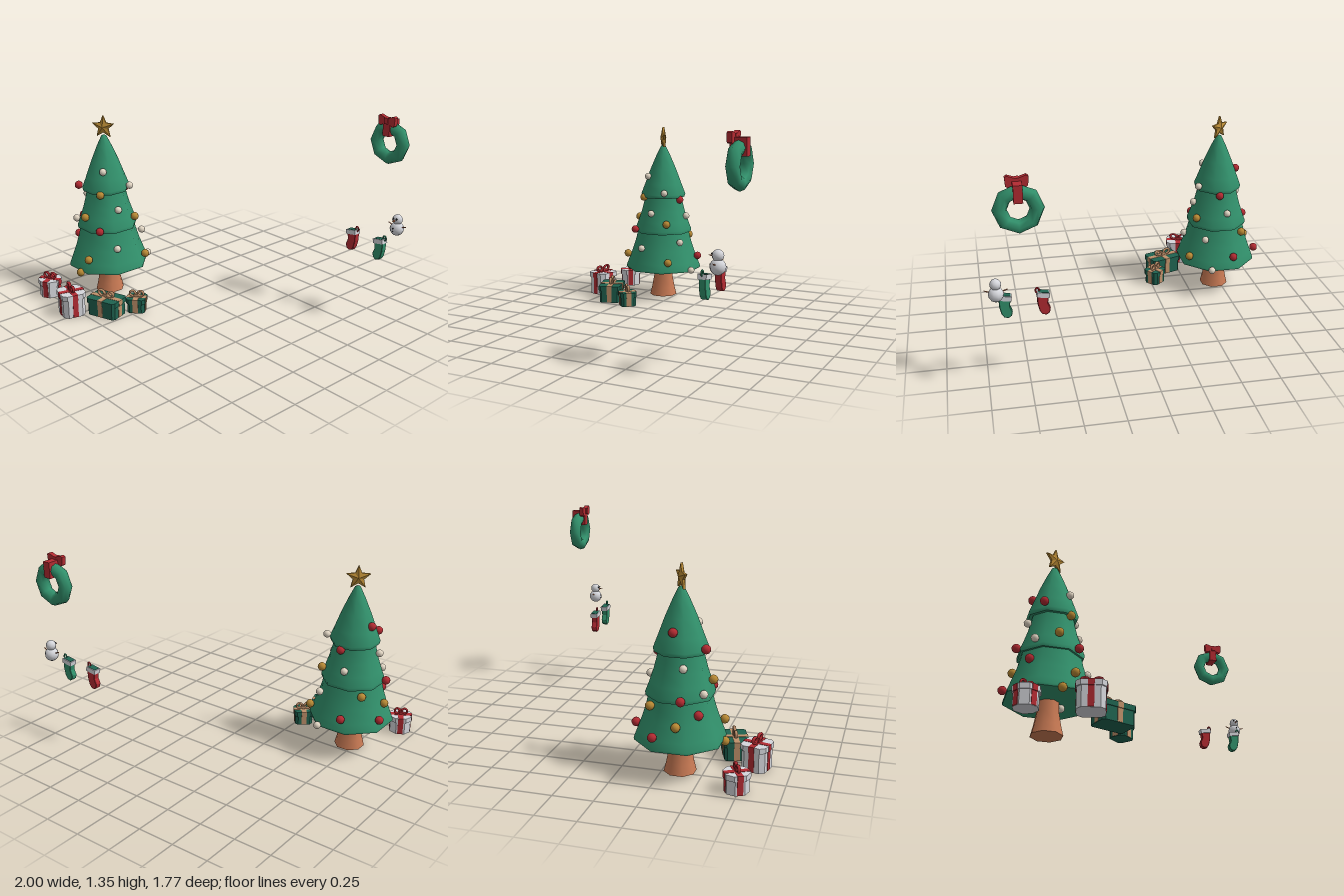
import * as THREE from 'three';

const mat = (name, color, extra = {}) => {
  const m = new THREE.MeshStandardMaterial({ color });
  m.name = name;
  return Object.assign(m, extra);
};

export function createModel() {
  const M = {
    green: mat('pine green', 0x32916c),
    dark: mat('gift green', 0x1f6350),
    red: mat('ribbon red', 0xb32b32),
    gold: mat('gold', 0xb98a35),
    cream: mat('cream', 0xe4d8c6),
    trunk: mat('trunk brown', 0xc97a54),
    tan: mat('tan ribbon', 0xc0916b),
    white: mat('white', 0xd6d7dc),
    black: mat('charcoal', 0x2a2a2c),
  };
  const root = new THREE.Group();
  const group = (name, x, y, z, parent = root) => {
    const g = new THREE.Group();
    g.name = name;
    g.position.set(x, y, z);
    parent.add(g);
    return g;
  };
  const add = (parent, name, geo, material, x = 0, y = 0, z = 0) => {
    const m = new THREE.Mesh(geo, material);
    m.name = name;
    m.position.set(x, y, z);
    parent.add(m);
    return m;
  };
  const box = (w, h, d) => new THREE.BoxGeometry(w, h, d);
  const ball = (r, w = 10, h = 8) => new THREE.SphereGeometry(r, w, h);
  const shapeOf = (pts) => new THREE.Shape(pts.map(([x, y]) => new THREE.Vector2(x, y)));
  const lathe = (pts) => new THREE.LatheGeometry(pts.map(([r, y]) => new THREE.Vector2(r, y)), 8).rotateY(Math.PI / 8);

  // Tree: trunk and three flared eight-sided tiers
  const tree = group('tree', -0.71, 0, 0.355);
  add(tree, 'trunk', lathe([[0.1, 0], [0.085, 0.06], [0.07, 0.14], [0.062, 0.26]]), M.trunk);
  add(tree, 'trunkBase', lathe([[0, 0], [0.1, 0]]), M.trunk);
  const tiers = [
    ['lowerTier', [[0.277, 0.21], [0.279, 0.225], [0.262, 0.27], [0.228, 0.36], [0.203, 0.44], [0.186, 0.52]]],
    ['middleTier', [[0.207, 0.487], [0.21, 0.51], [0.187, 0.57], [0.16, 0.65], [0.142, 0.72], [0.132, 0.78]]],
    ['upperTier', [[0.157, 0.75], [0.165, 0.775], [0.136, 0.85], [0.095, 0.96], [0.052, 1.06], [0.018, 1.13], [0, 1.138]]],
  ];
  for (const [name, pts] of tiers) {
    add(tree, name, lathe(pts), M.green);
    add(tree, name + 'Underside', lathe([[0, pts[0][1]], pts[0]]), M.green);
  }

  // Star: ten outline points joined to a raised centre on both faces
  const pos = [];
  const rim = (i) => {
    const r = i % 2 ? 0.037 : 0.081, a = Math.PI / 2 + (i * Math.PI) / 5;
    return [r * Math.cos(a), r * Math.sin(a)];
  };
  for (let i = 0; i < 10; i++) {
    const a = rim(i), b = rim(i + 1), t = 0.007;
    pos.push(0, 0, 0.022, ...a, t, ...b, t);
    pos.push(0, 0, -0.022, ...b, -t, ...a, -t);
    pos.push(...a, t, ...a, -t, ...b, t, ...b, t, ...a, -t, ...b, -t);
  }
  const starGeo = new THREE.BufferGeometry();
  starGeo.setAttribute('position', new THREE.Float32BufferAttribute(pos, 3));
  starGeo.computeVertexNormals();
  add(tree, 'star', starGeo, M.gold, 0, 1.19, 0).rotation.y = 0.61;

  // Baubles
  const baubles = {
    red: [[-0.835, 0.89, 0.34], [-0.79, 0.795, 0.524], [-0.69, 0.736, 0.21], [-0.925, 0.513, 0.41],
      [-0.855, 0.416, 0.5], [-0.973, 0.3, 0.257], [-0.775, 0.308, 0.1], [-0.567, 0.51, 0.52]],
    gold: [[-0.615, 0.75, 0.47], [-0.695, 0.588, 0.548], [-0.536, 0.567, 0.245], [-0.6, 0.315, 0.6],
      [-0.48, 0.294, 0.205], [-0.675, 0.205, 0.62], [-0.935, 0.36, 0.385], [-0.86, 0.45, 0.21]],
    cream: [[-0.62, 0.907, 0.437], [-0.55, 0.795, 0.27], [-0.545, 0.64, 0.375], [-0.495, 0.382, 0.43], [-0.63, 0.19, 0.337],
      [-0.866, 0.69, 0.41], [-0.835, 0.54, 0.525], [-0.74, 0.61, 0.18], [-0.58, 0.433, 0.155], [-0.615, 0.226, 0.08]],
  };
  const ornaments = group('baubles', 0, 0, 0);
  for (const key in baubles) {
    const geo = ball(key === 'cream' ? 0.025 : 0.028);
    for (const p of baubles[key]) add(ornaments, key + 'Bauble', geo, M[key], ...p);
  }

  // Gifts: chamfered box and lid, crossed ribbons and a looped bow
  const prism = (w, d, h, c) => {
    const x = w / 2, z = d / 2;
    const s = shapeOf([[x, c - z], [x, z - c], [x - c, z], [c - x, z], [-x, z - c], [-x, c - z], [c - x, -z], [x - c, -z]]);
    return new THREE.ExtrudeGeometry(s, { depth: h, bevelEnabled: false }).rotateX(-Math.PI / 2);
  };
  const gift = (name, x, z, rot, w, d, h, c, body, ribbon, bow) => {
    const g = group(name, x, 0, z);
    g.rotation.y = rot;
    const lid = 0.034, over = 0.012, rw = 0.036;
    add(g, 'giftBox', prism(w - over, d - over, h - lid, c), body);
    add(g, 'giftLid', prism(w, d, lid, c), body, 0, h - lid, 0);
    for (const [len, turn] of [[w, 0], [d, Math.PI / 2]]) {
      add(g, 'bodyRibbon', box(len - over + 0.006, h - lid - 0.004, rw), ribbon, 0, (h - lid) / 2, 0).rotation.y = turn;
      add(g, 'lidRibbon', box(len + 0.006, lid + 0.004, rw), ribbon, 0, h - lid / 2, 0).rotation.y = turn;
    }
    for (const s of [-1, 1]) {
      const loop = add(g, 'bowLoop', new THREE.TorusGeometry(0.022, 0.009, 6, 10), ribbon, s * bow * 0.5, h + 0.025, 0);
      loop.scale.set(bow / 0.062, 0.85, 1.2);
      loop.rotation.z = s * 0.25;
    }
    add(g, 'bowKnot', box(0.022, 0.022, 0.026), ribbon, 0, h + 0.012, 0);
  };
  gift('smallWhiteGift', -0.894, 0.737, 0.5, 0.15, 0.15, 0.122, 0.04, M.white, M.red, 0.05);
  gift('largeWhiteGift', -0.545, 0.79, -0.25, 0.175, 0.165, 0.163, 0.028, M.white, M.red, 0.07);
  gift('largeGreenGift', -0.38, 0.62, 0.33, 0.23, 0.16, 0.122, 0.016, M.dark, M.tan, 0.07);
  gift('smallGreenGift', -0.283, 0.437, 0.7, 0.13, 0.12, 0.1, 0.018, M.dark, M.tan, 0.055);

  // Wreath with a ribbon band and a front bow
  const wreath = group('wreath', 0.78, 1.17, -0.84);
  add(wreath, 'wreathRing', new THREE.TorusGeometry(0.104, 0.042, 8, 8), M.green);
  add(wreath, 'wreathBand', box(0.052, 0.104, 0.1), M.red, 0, 0.1, 0);
  const wing = shapeOf([[0, 0.016], [0.052, 0.034], [0.066, 0.026], [0.062, -0.026], [0.05, -0.034], [0, -0.016]]);
  const wingGeo = new THREE.ExtrudeGeometry(wing, { depth: 0.03, bevelEnabled: false }).translate(0, 0, -0.015);
  for (const s of [0, 1]) add(wreath, 'wreathBowWing', wingGeo, M.red, 0, 0.15, 0.037).rotation.y = s * Math.PI;
  add(wreath, 'wreathBowKnot', box(0.026, 0.04, 0.04), M.red, 0, 0.15, 0.04);

  // Stockings
  const sock = shapeOf([[-0.03, 0.05], [-0.022, 0.0], [-0.037, -0.035], [-0.032, -0.06], [-0.014, -0.072],
    [0.008, -0.066], [0.022, -0.045], [0.032, 0.0], [0.034, 0.05]]);
  const sockGeo = new THREE.ExtrudeGeometry(sock, {
    depth: 0.026, bevelThickness: 0.007, bevelSize: 0.004, bevelSegments: 2,
  }).translate(0, 0, -0.013);
  for (const [name, x, m] of [['redStocking', 0.65, M.red], ['greenStocking', 0.875, M.green]]) {
    const g = group(name, x, 0.5, -0.68);
    add(g, 'sock', sockGeo, m);
    const cuff = group('cuff', 0, 0.057, 0, g);
    cuff.rotation.z = 0.15;
    add(cuff, 'cuffBand', box(0.076, 0.03, 0.052), M.white);
    add(cuff, 'cuffOpening', box(0.062, 0.004, 0.04), M.dark, 0, 0.015, 0);
    const loop = add(g, 'hangingLoop', new THREE.TorusGeometry(0.012, 0.005, 6, 8), m, 0.034, 0.083, 0);
    loop.scale.y = 1.3;
  }

  // Snowman
  const snowman = group('snowman', 0.928, 0, -0.78);
  add(snowman, 'body', ball(0.046), M.white, 0, 0.631, 0);
  add(snowman, 'head', ball(0.034), M.white, 0, 0.694, 0);
  const nose = add(snowman, 'nose', new THREE.ConeGeometry(0.008, 0.03, 6), M.trunk, 0, 0.692, 0.042);
  nose.rotation.x = Math.PI / 2;
  for (const s of [-1, 1]) {
    add(snowman, 'eye', ball(0.006, 6, 5), M.black, s * 0.013, 0.704, 0.029);
    const arm = add(snowman, 'arm', new THREE.CylinderGeometry(0.003, 0.004, 0.04, 5), M.trunk, s * 0.05, 0.652, 0);
    arm.rotation.z = -s * 1.2;
  }
  for (const y of [0.622, 0.642]) add(snowman, 'button', ball(0.005, 6, 5), M.black, 0, y, 0.045);
  return root;
}
